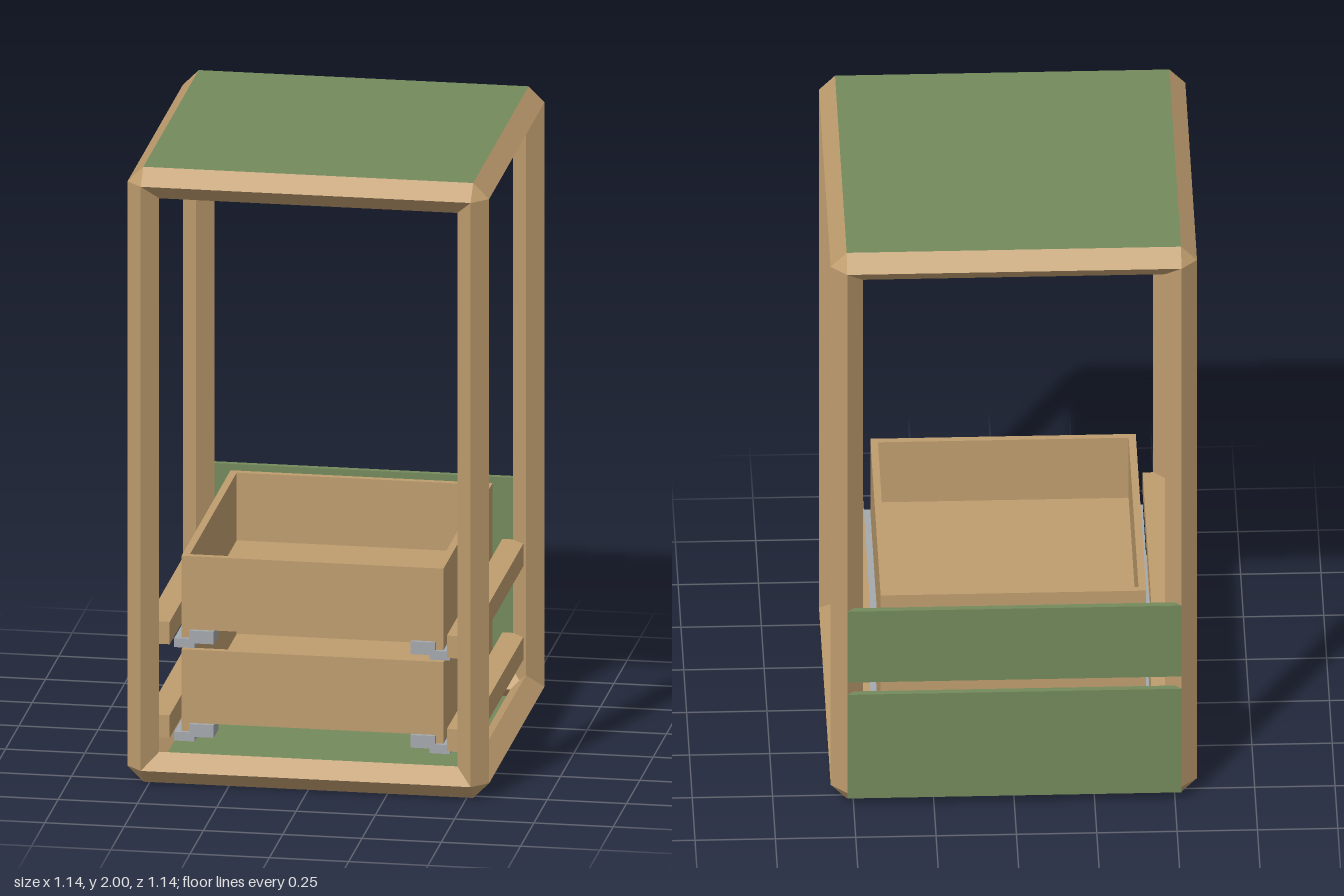
import * as THREE from 'three';

const wood = new THREE.MeshStandardMaterial({ color: 0xbf9d6e, flatShading: true });
const green = new THREE.MeshStandardMaterial({ color: 0x748a5b });
const metal = new THREE.MeshStandardMaterial({ color: 0xa4a9ae });

// Box given by its min and max on each axis
function box(parent, name, mat, [x0, x1], [y0, y1], [z0, z1]) {
  const mesh = new THREE.Mesh(new THREE.BoxGeometry(x1 - x0, y1 - y0, z1 - z0), mat);
  mesh.position.set((x0 + x1) / 2, (y0 + y1) / 2, (z0 + z1) / 2);
  mesh.name = name;
  parent.add(mesh);
}

// Same box on both sides, mirrored in x
function boxPair(parent, name, mat, [x0, x1], y, z) {
  box(parent, name + 'Left', mat, [x0, x1], y, z);
  box(parent, name + 'Right', mat, [-x1, -x0], y, z);
}

const E = 0.52, R = 0.05, LOW = R, HIGH = 2 - R;

// Diamond-section beam along one axis
function beam(parent, name, axis, length, x, y, z) {
  const mesh = new THREE.Mesh(new THREE.CylinderGeometry(R, R, length, 4, 1, true), wood);
  if (axis === 'x') mesh.rotation.z = Math.PI / 2;
  if (axis === 'z') mesh.rotation.x = Math.PI / 2;
  mesh.position.set(x, y, z);
  mesh.name = name;
  parent.add(mesh);
}

function createFrame() {
  const frame = new THREE.Group();
  frame.name = 'frame';
  for (const s of [-1, 1]) {
    for (const y of [LOW, HIGH]) {
      beam(frame, 'crossBeam', 'x', 2 * E, 0, y, s * E);
      beam(frame, 'sideBeam', 'z', 2 * E, s * E, y, 0);
    }
    for (const t of [-1, 1]) {
      beam(frame, 'post', 'y', HIGH - LOW, s * E, 1, t * E);
      // Faceted joints where three beams meet
      for (const y of [LOW, HIGH]) {
        const joint = new THREE.Mesh(new THREE.OctahedronGeometry(R), wood);
        joint.position.set(s * E, y, t * E);
        joint.name = 'cornerJoint';
        frame.add(joint);
      }
    }
  }
  return frame;
}

// Drawer with its two slides and the rails that carry them
function createDrawerUnit(name) {
  const unit = new THREE.Group();
  unit.name = name;
  const front = 0.44, back = -0.48, top = 0.265, t = 0.022;
  boxPair(unit, 'drawerSide', wood, [0.39, 0.413], [0, top], [back, front]);
  box(unit, 'drawerFront', wood, [-0.39, 0.39], [0.045, top], [front - t, front]);
  box(unit, 'drawerBack', wood, [-0.39, 0.39], [0.045, top], [back, back + t]);
  box(unit, 'drawerFloor', wood, [-0.39, 0.39], [0.027, 0.045], [back, front]);
  // Slides: outer channel, rear runner, front catch
  boxPair(unit, 'slideChannel', metal, [0.37, 0.435], [-0.03, -0.001], [-0.25, 0.45]);
  boxPair(unit, 'slideRunner', metal, [0.38, 0.425], [-0.022, -0.001], [-0.5, -0.25]);
  boxPair(unit, 'slideCatch', metal, [0.31, 0.388], [-0.015, 0.026], [0.36, 0.45]);
  boxPair(unit, 'sideRail', wood, [0.437, 0.51], [0, 0.073], [-E, E]);
  return unit;
}

export function createModel() {
  const model = new THREE.Group();
  model.name = 'drawerStand';
  model.add(createFrame());

  // Top, bottom and back panels
  box(model, 'topPanel', green, [-E, E], [1.98, 2], [-E, E]);
  box(model, 'bottomPanel', green, [-E, E], [0, 0.02], [-E, E]);
  box(model, 'lowerBackPanel', green, [-E, E], [0.03, 0.41], [-0.57, -0.55]);
  box(model, 'upperBackPanel', green, [-E, E], [0.455, 0.715], [-0.57, -0.55]);

  // Two stacked drawers
  ['lowerDrawer', 'upperDrawer'].forEach((name, i) => {
    const unit = createDrawerUnit(name);
    unit.position.y = 0.147 + i * 0.304;
    model.add(unit);
  });
  return model;
}
